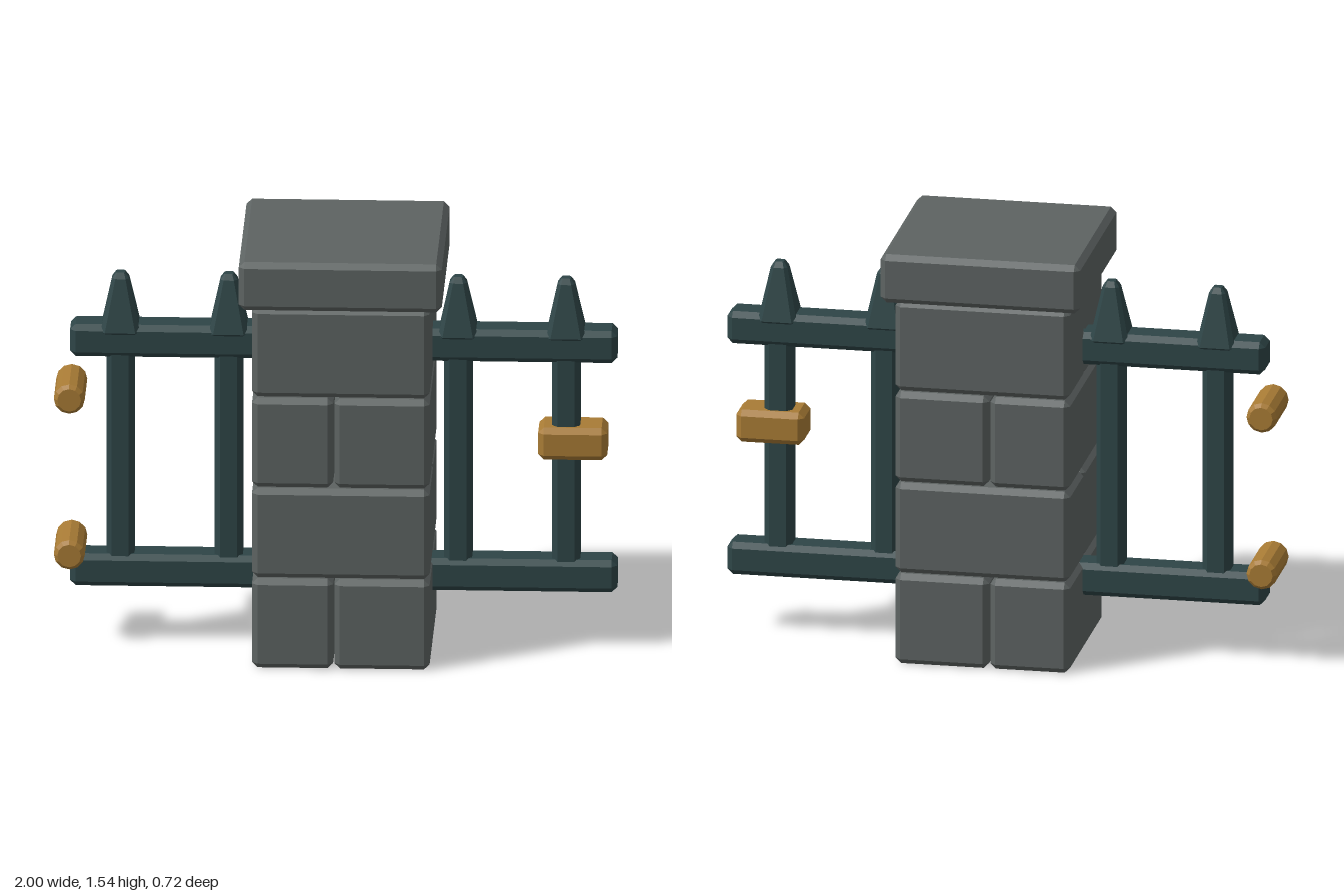
import * as THREE from 'three';
import { ConvexGeometry } from 'three/addons/geometries/ConvexGeometry.js';

const makeMaterial = (name, color) => {
  const m = new THREE.MeshStandardMaterial({ color, flatShading: true });
  m.name = name;
  return m;
};

// Box with every edge cut at 45 degrees
function chamferBox(w, h, d, b) {
  const points = [];
  for (const sx of [-1, 1]) for (const sy of [-1, 1]) for (const sz of [-1, 1]) {
    const x = w / 2, y = h / 2, z = d / 2;
    points.push(
      new THREE.Vector3(sx * x, sy * (y - b), sz * (z - b)),
      new THREE.Vector3(sx * (x - b), sy * y, sz * (z - b)),
      new THREE.Vector3(sx * (x - b), sy * (y - b), sz * z));
  }
  return new ConvexGeometry(points);
}

// Tapered spike from stacked corner-cut squares: [y, half width, corner cut]
function spikeGeometry() {
  const points = [];
  for (const [y, r, c] of [[0, 0.055, 0.008], [0.015, 0.07, 0.016], [0.205, 0.03, 0.012], [0.225, 0.016, 0.004]])
    for (const sx of [-1, 1]) for (const sz of [-1, 1])
      points.push(new THREE.Vector3(sx * r, y, sz * (r - c)), new THREE.Vector3(sx * (r - c), y, sz * r));
  return new ConvexGeometry(points);
}

export function createModel() {
  const group = new THREE.Group();
  group.name = 'fencePillar';
  const stone = makeMaterial('stone', 0x5d6362);
  const iron = makeMaterial('iron', 0x2e4547);
  const brass = makeMaterial('brass', 0xa87b35);

  const add = (name, geometry, material, x, y, z) => {
    const mesh = new THREE.Mesh(geometry, material);
    mesh.name = name;
    mesh.position.set(x, y, z);
    group.add(mesh);
    return mesh;
  };
  // Chamfered box given by its extents
  const block = (name, material, x0, x1, y0, y1, z0, z1, b = 0.02) =>
    add(name, chamferBox(x1 - x0, y1 - y0, z1 - z0, b), material, (x0 + x1) / 2, (y0 + y1) / 2, (z0 + z1) / 2);

  // Pillar courses, two bricks each, with the joint turned every other course
  const [left, right, depth, pitch] = [-0.29, 0.34, 0.315, 0.339];
  for (let i = 0; i < 4; i++) {
    const y0 = 0.004 + i * pitch, y1 = y0 + pitch - 0.004;
    if (i % 2 === 0) {
      block('brick', stone, left, -0.002, y0, y1, -depth, depth);
      block('brick', stone, 0.002, right, y0, y1, -depth, depth);
    } else {
      block('brick', stone, left, right, y0, y1, -depth, -0.027);
      block('brick', stone, left, right, y0, y1, -0.023, depth);
    }
  }
  // The joint through the front shows on the first and third courses
  block('capstone', stone, -0.335, 0.385, 1.36, 1.54, -0.36, 0.36);

  // Rails on both sides of the pillar
  for (const y of [0.215, 1.075]) {
    block('rail', iron, -0.945, -0.25, y, y + 0.12, -0.063, 0.063);
    block('rail', iron, 0.3, 0.995, y, y + 0.12, -0.063, 0.063);
  }

  // Upright bars with spikes
  const spike = spikeGeometry();
  for (const x of [-0.767, -0.383, 0.43, 0.813]) {
    block('bar', iron, x - 0.05, x + 0.05, 0.24, 1.17, -0.05, 0.05);
    add('spike', spike, iron, x, 1.155, 0);
  }

  // Hinge pins
  const profile = [[0, -0.125], [0.042, -0.125], [0.055, -0.11], [0.055, 0.11], [0.042, 0.125], [0, 0.125]];
  const pin = new THREE.LatheGeometry(profile.map(([r, y]) => new THREE.Vector2(r, y)), 12);
  for (const y of [0.352, 0.936]) add('hingePin', pin, brass, -0.945, y, 0).rotation.x = Math.PI / 2;

  // Latch block
  block('latch', brass, 0.715, 0.96, 0.715, 0.835, -0.078, 0.078);

  return group;
}
